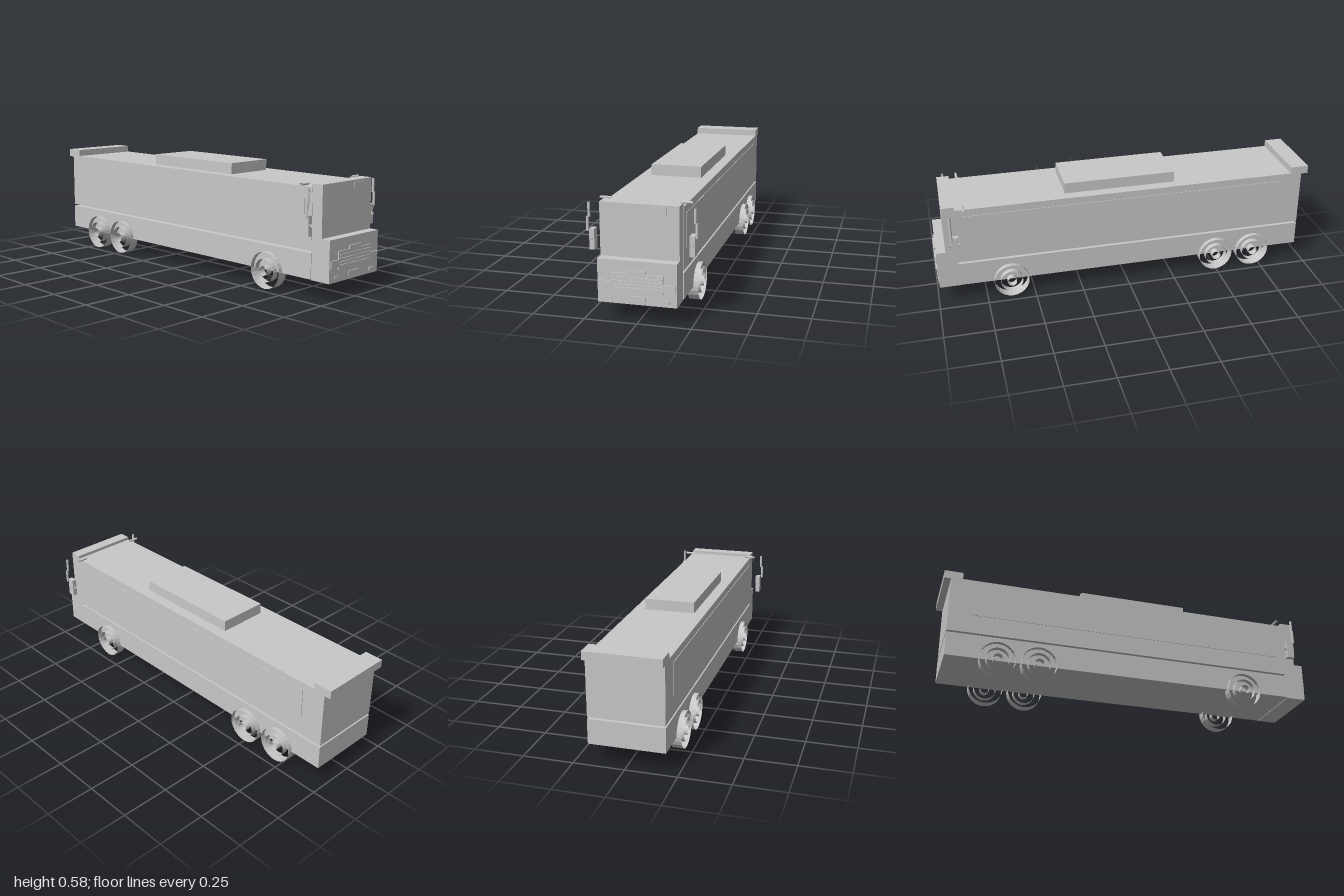
import * as THREE from 'three';

export function createModel() {
  const model = new THREE.Group();
  const grey = new THREE.MeshStandardMaterial({ color: 0xc8c8c8, flatShading: true, side: THREE.DoubleSide });
  grey.name = 'plain grey';

  function add(name, geometry, x, y, z, parent = model) {
    const mesh = new THREE.Mesh(geometry, grey);
    mesh.name = name;
    mesh.position.set(x, y, z);
    parent.add(mesh);
    return mesh;
  }
  // Box given by its limits on each axis
  function block(name, [x0, x1], [y0, y1], [z0, z1], parent = model) {
    return add(name, new THREE.BoxGeometry(x1 - x0, y1 - y0, z1 - z0),
      (x0 + x1) / 2, (y0 + y1) / 2, (z0 + z1) / 2, parent);
  }
  // Open-ended tube along an axis
  function tube(name, radius, length, axis, x, y, z, parent, sides = 24) {
    const g = new THREE.CylinderGeometry(radius, radius, length, sides, 1, true);
    if (axis === 'x') g.rotateZ(Math.PI / 2);
    if (axis === 'z') g.rotateX(Math.PI / 2);
    return add(name, g, x, y, z, parent);
  }

  // Body: two long boxes with an open gap between them
  block('lowerBody', [-0.187, 0.187], [0.09, 0.215], [-0.965, 0.885]);
  block('upperBody', [-0.186, 0.186], [0.225, 0.522], [-0.965, 0.885]);
  block('roofUnit', [-0.129, 0.129], [0.522, 0.578], [-0.268, 0.315]);
  block('rearOverhang', [-0.187, 0.187], [0.515, 0.557], [-1, -0.905]);

  // Cab
  block('cabNose', [-0.184, 0.184], [0.087, 0.29], [0.885, 0.99]);
  block('cabUpper', [-0.184, 0.184], [0.29, 0.539], [0.88, 0.943]);

  // Stepped grille surround with four bars
  const half = [[0.042, 0.248], [0.042, 0.232], [0.122, 0.232], [0.122, 0.192],
    [0.176, 0.192], [0.176, 0.157], [0.122, 0.157], [0.122, 0.147]];
  const outline = [...half, ...half.map(([x, y]) => [-x, y]).reverse()];
  const grille = new THREE.Shape(outline.map(([x, y]) => new THREE.Vector2(x, y)));
  add('grille', new THREE.ExtrudeGeometry(grille, { depth: 0.006, bevelEnabled: false }), 0, 0, 0.99);
  for (const y of [0.165, 0.181, 0.197, 0.215]) {
    block('grilleBar', [-0.115, 0.115], [y - 0.002, y + 0.002], [0.992, 1]);
  }
  block('frontPlate', [-0.041, 0.041], [0.104, 0.127], [0.988, 0.995]);
  block('frontDisplay', [0.051, 0.127], [0.497, 0.529], [0.94, 0.946]);

  for (const side of [-1, 1]) {
    const label = side > 0 ? 'left' : 'right';
    const span = (a, b) => (side > 0 ? [a, b] : [-b, -a]);

    block(label + 'SidePanel', span(0.184, 0.189), [0.323, 0.484], [-0.84, 0.84]);
    block(label + 'FogLight', span(0.117, 0.149), [0.102, 0.118], [0.988, 0.995]);

    // Wheels: tyre, rim and hub rings
    for (const z of [0.62, -0.495, -0.705]) {
      const wheel = new THREE.Group();
      wheel.name = label + 'Wheel';
      wheel.position.set(0, 0.091, z);
      model.add(wheel);
      tube('tyre', 0.091, 0.053, 'x', side * 0.1845, 0, 0, wheel);
      tube('rim', 0.058, 0.035, 'x', side * 0.1975, 0, 0, wheel);
      tube('hub', 0.024, 0.037, 'x', side * 0.2035, 0, 0, wheel);
    }

    // Mirror head with its stepped pole
    const mirror = new THREE.Group();
    mirror.name = label + 'Mirror';
    model.add(mirror);
    block('mirrorHead', span(0.222, 0.246), [0.304, 0.401], [0.875, 0.915], mirror);
    tube('mirrorPivot', 0.007, 0.052, 'z', side * 0.234, 0.355, 0.895, mirror, 12);
    tube('upperPole', 0.0065, 0.068, 'y', side * 0.246, 0.491, 0.91, mirror, 12);
    tube('lowerPole', 0.0065, 0.069, 'y', side * 0.254, 0.425, 0.91, mirror, 12);
    tube(label + 'RoofArm', 0.0065, 0.054, 'x', side * 0.189, 0.533, 0.84, model, 12);
  }
  return model;
}
